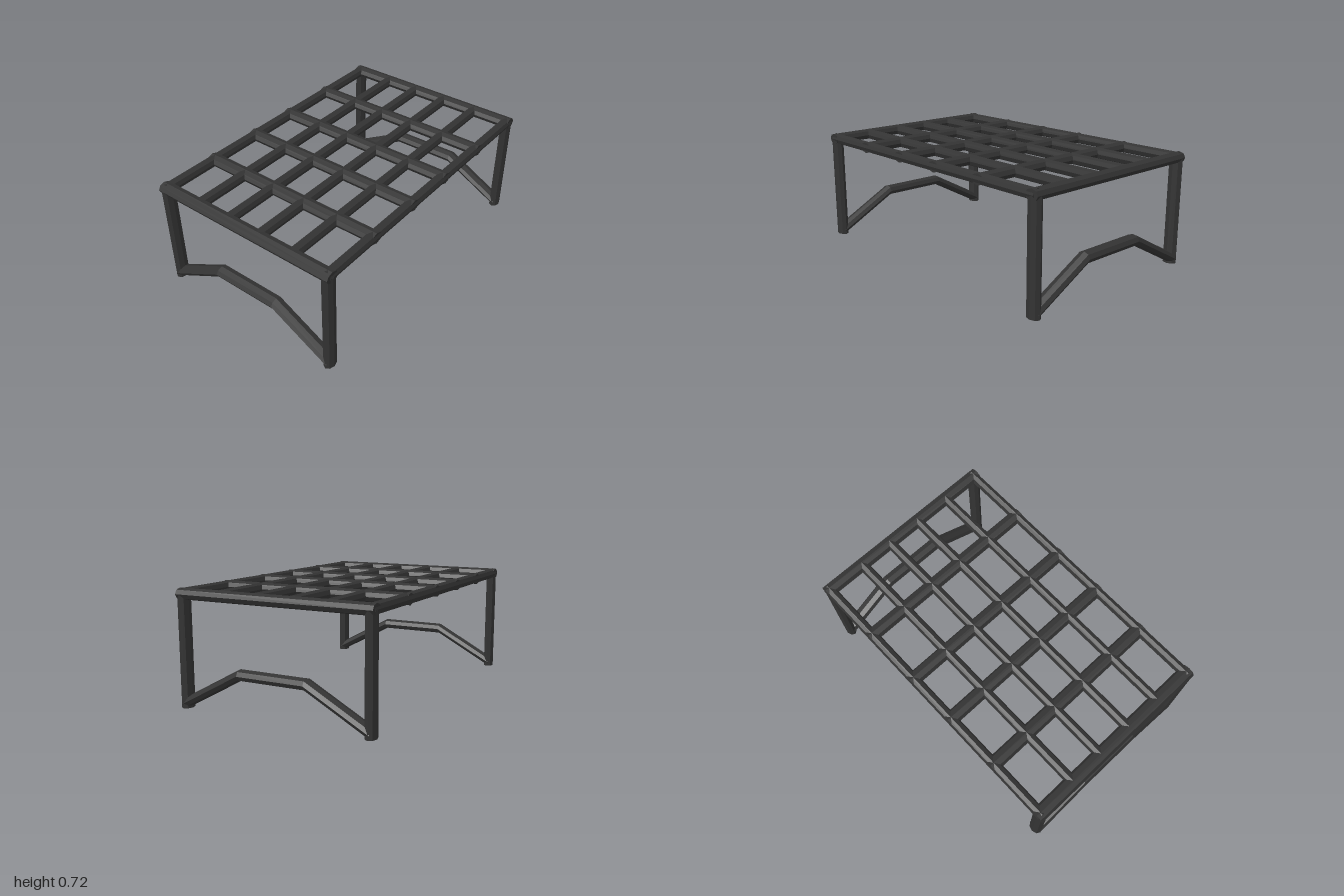
import * as THREE from 'three';

// Half-thickness of the octagonal tubing along each axis
const RX = 0.033, RY = 0.035, RZ = 0.046;
const DECK_Y = 0.69, SIDE_X = 0.612, END_Z = 0.953;

export function createModel() {
  const model = new THREE.Group();
  model.name = 'tableFrame';
  const material = new THREE.MeshStandardMaterial({ color: 0x333333, flatShading: true });

  const add = (name, geometry, x, y, z) => {
    const mesh = new THREE.Mesh(geometry, material);
    mesh.name = name;
    mesh.position.set(x, y, z);
    model.add(mesh);
  };

  // Straight octagonal bars along each axis
  const unit = () => new THREE.CylinderGeometry(1, 1, 1, 8);
  const barX = (length) => unit().rotateZ(Math.PI / 2).scale(length, RY, RZ);
  const barY = (length) => unit().scale(RX, length, RZ);
  const barZ = (length) => unit().rotateX(Math.PI / 2).scale(RX, RY, length);

  // Deck: end rails and crossbars
  for (const z of [-END_Z, END_Z]) add('endRail', barX(1.28), 0, DECK_Y, z);
  for (const z of [-0.535, -0.145, 0.195, 0.565]) add('crossbar', barX(1.275), 0, DECK_Y, z);

  // Deck: side rails and lengthwise slats
  for (const x of [-SIDE_X, SIDE_X]) add('sideRail', barZ(1.94), x, DECK_Y, 0);
  for (const x of [-0.35, -0.12, 0.115, 0.36]) add('slat', barZ(1.9), x, DECK_Y, 0);

  // Legs
  for (const x of [-SIDE_X, SIDE_X])
    for (const z of [-END_Z, END_Z]) add('leg', barY(0.675), x, 0.3475, z);

  // Raised braces: a bar bent at two joints, each section kept upright
  const path = [[-0.62, 0.036], [-0.22, 0.25], [0.22, 0.25], [0.62, 0.036]];
  const brace = new THREE.CylinderGeometry(1, 1, 3, 8, 3);
  const pos = brace.attributes.position;
  for (let i = 0; i < pos.count; i++) {
    const [x, y] = path[Math.round(pos.getY(i) + 1.5)];
    pos.setXYZ(i, x, y - pos.getX(i) * RY, pos.getZ(i) * RZ);
  }
  brace.computeVertexNormals();
  for (const z of [-END_Z, END_Z]) add('brace', brace, 0, 0, z);

  return model;
}
